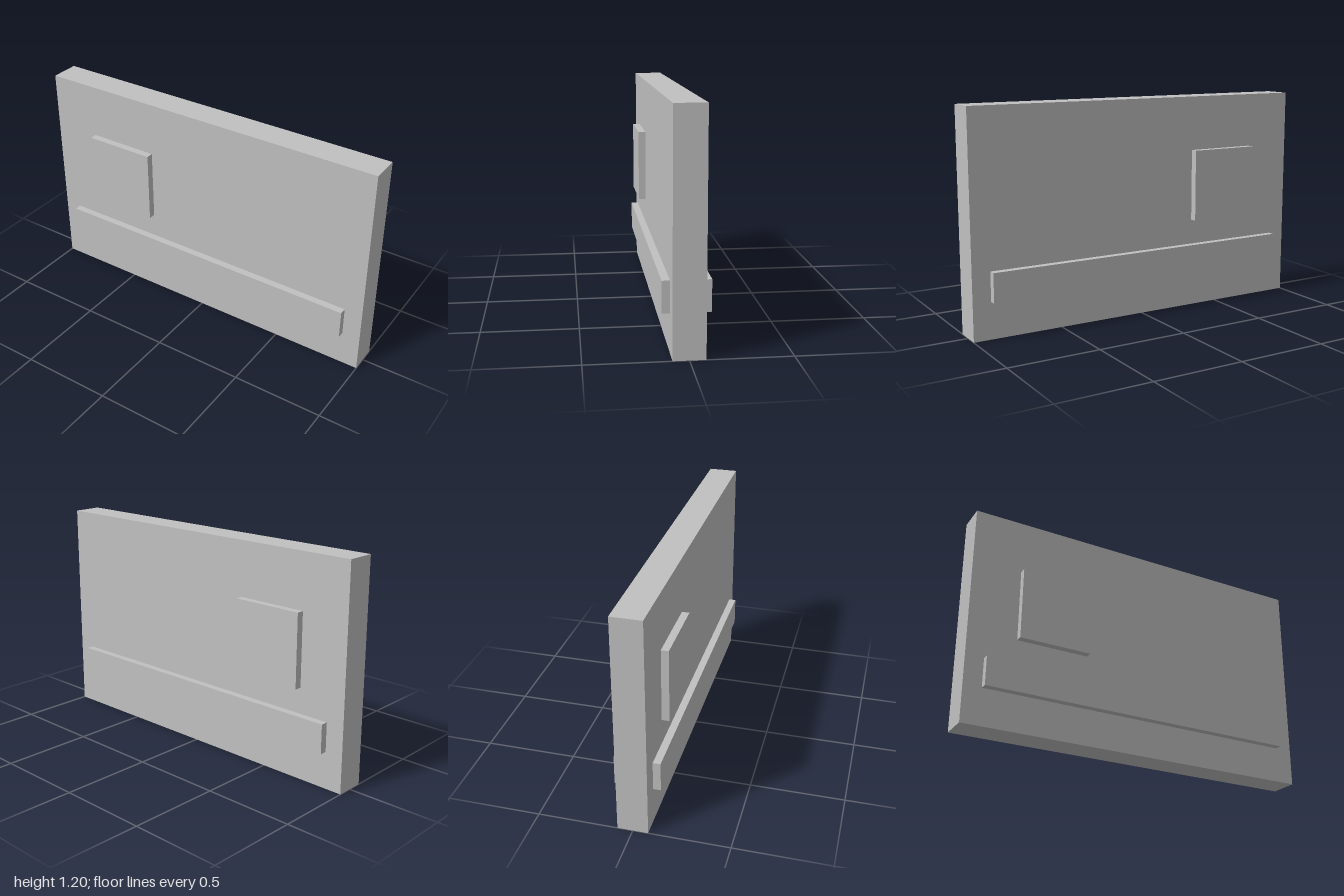
import * as THREE from 'three';

export function createModel() {
  const model = new THREE.Group();
  model.name = 'cardPanel';
  const grey = new THREE.MeshStandardMaterial({ color: 0xc0c0c0 });
  grey.name = 'light grey';

  function box(name, w, h, d, x, y, z) {
    const mesh = new THREE.Mesh(new THREE.BoxGeometry(w, h, d), grey);
    mesh.name = name;
    mesh.position.set(x, y, z);
    model.add(mesh);
  }

  // Upright slab
  box('panel', 2, 1.2, 0.16, 0, 0.6, 0);

  // Raised square and strip, the same on both faces
  for (const [side, s] of [['front', 1], ['back', -1]]) {
    box(side + 'Square', 0.4, 0.4, 0.04, -0.53, 0.7, s * 0.1);
    box(side + 'Strip', 1.8, 0.16, 0.04, 0, 0.28, s * 0.1);
  }
  return model;
}
